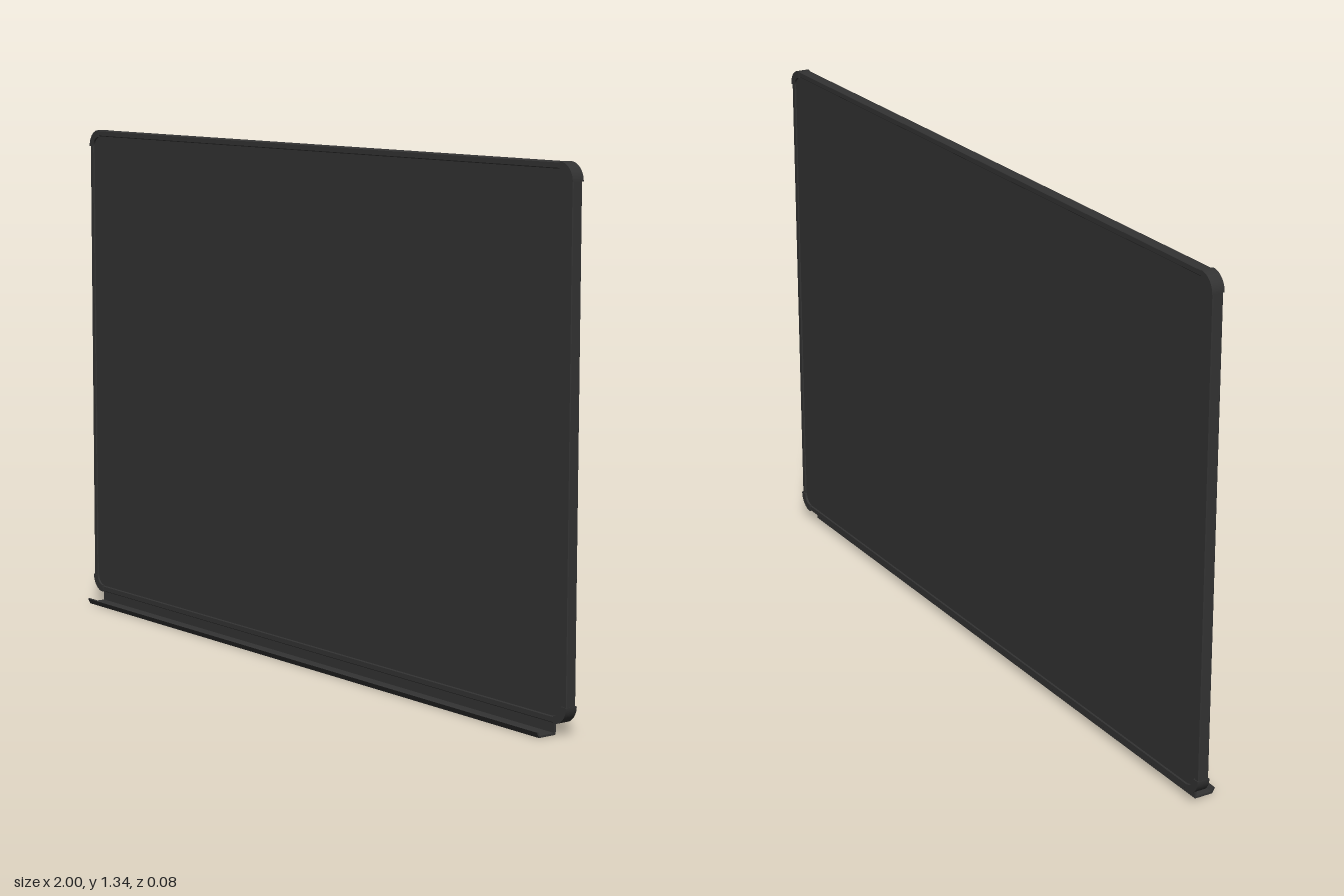
import * as THREE from 'three';

const MATERIAL = new THREE.MeshStandardMaterial({ color: 0x333333 });
const BOTTOM = 0.028, TOP = 1.337, HALF = 1;
const RADIUS = 0.045, RAIL = 0.018;

// Extrude a shape from z0 to z1
function extrude(name, shape, z0, z1) {
  const geometry = new THREE.ExtrudeGeometry(shape, { depth: z1 - z0, bevelEnabled: false, curveSegments: 10 });
  const mesh = new THREE.Mesh(geometry.translate(0, 0, z0), MATERIAL);
  mesh.name = name;
  return mesh;
}

function roundedRect(x0, y0, x1, y1, r) {
  const s = new THREE.Shape();
  s.absarc(x1 - r, y0 + r, r, -Math.PI / 2, 0);
  s.absarc(x1 - r, y1 - r, r, 0, Math.PI / 2);
  s.absarc(x0 + r, y1 - r, r, Math.PI / 2, Math.PI);
  s.absarc(x0 + r, y0 + r, r, Math.PI, Math.PI * 1.5);
  s.closePath();
  return s;
}

// Straight frame rail with chamfered long edges, lying along x
function rail(name, length) {
  const zf = -0.0105, zb = -0.0395, h = RAIL / 2 - 0.001, c = 0.002;
  const s = new THREE.Shape([
    [zb, -h + c], [zb + c, -h], [zf - c, -h], [zf, -h + c],
    [zf, h - c], [zf - c, h], [zb + c, h], [zb, h - c],
  ].map(([z, y]) => new THREE.Vector2(-z, y)));
  const mesh = extrude(name, s, -length / 2, length / 2);
  mesh.geometry.rotateY(Math.PI / 2);
  return mesh;
}

export function createModel() {
  const board = new THREE.Group();
  board.name = 'whiteboard';
  const midY = (BOTTOM + TOP) / 2;

  // Writing panel, recessed inside the frame
  const inset = 0.01;
  board.add(extrude('panel', roundedRect(-HALF + inset, BOTTOM + inset, HALF - inset, TOP - inset, RADIUS - inset), -0.036, -0.014));

  // Frame rails
  for (const side of [-1, 1]) {
    const horizontal = rail(side > 0 ? 'topRail' : 'bottomRail', 2 * (HALF - RADIUS));
    horizontal.position.y = side > 0 ? TOP - RAIL / 2 : BOTTOM + RAIL / 2;
    const vertical = rail(side > 0 ? 'leftRail' : 'rightRail', TOP - BOTTOM - 2 * RADIUS);
    vertical.rotation.z = Math.PI / 2;
    vertical.position.set(side * (HALF - RAIL / 2), midY, 0);
    board.add(horizontal, vertical);
  }

  // Rounded corner caps, slightly proud of the rails
  const names = ['topLeftCorner', 'topRightCorner', 'bottomRightCorner', 'bottomLeftCorner'];
  names.forEach((name, i) => {
    const s = new THREE.Shape();
    s.absarc(0, 0, RADIUS, 0, Math.PI / 2);
    s.absarc(0, 0, RADIUS - RAIL - 0.001, Math.PI / 2, 0, true);
    s.closePath();
    const cap = extrude(name, s, -0.042, -0.0085);
    cap.rotation.z = i * Math.PI / 2;
    cap.position.x = (i === 0 || i === 3 ? 1 : -1) * (HALF - RADIUS);
    cap.position.y = i < 2 ? TOP - RADIUS : BOTTOM + RADIUS;
    board.add(cap);
  });

  // Pen tray: hanging wall, floor and flared front lip as one bent sheet
  const profile = [
    [-0.018, 0.032], [-0.018, 0.002], [-0.016, 0], [0.034, 0], [0.041, 0.014],
    [0.038, 0.016], [0.031, 0.005], [-0.013, 0.005], [-0.013, 0.032],
  ];
  const sheet = new THREE.Shape(profile.map(([z, y]) => new THREE.Vector2(-z, y)));
  const tray = extrude('penTray', sheet, -0.955, 0.955);
  tray.geometry.rotateY(Math.PI / 2);
  board.add(tray);

  return board;
}
